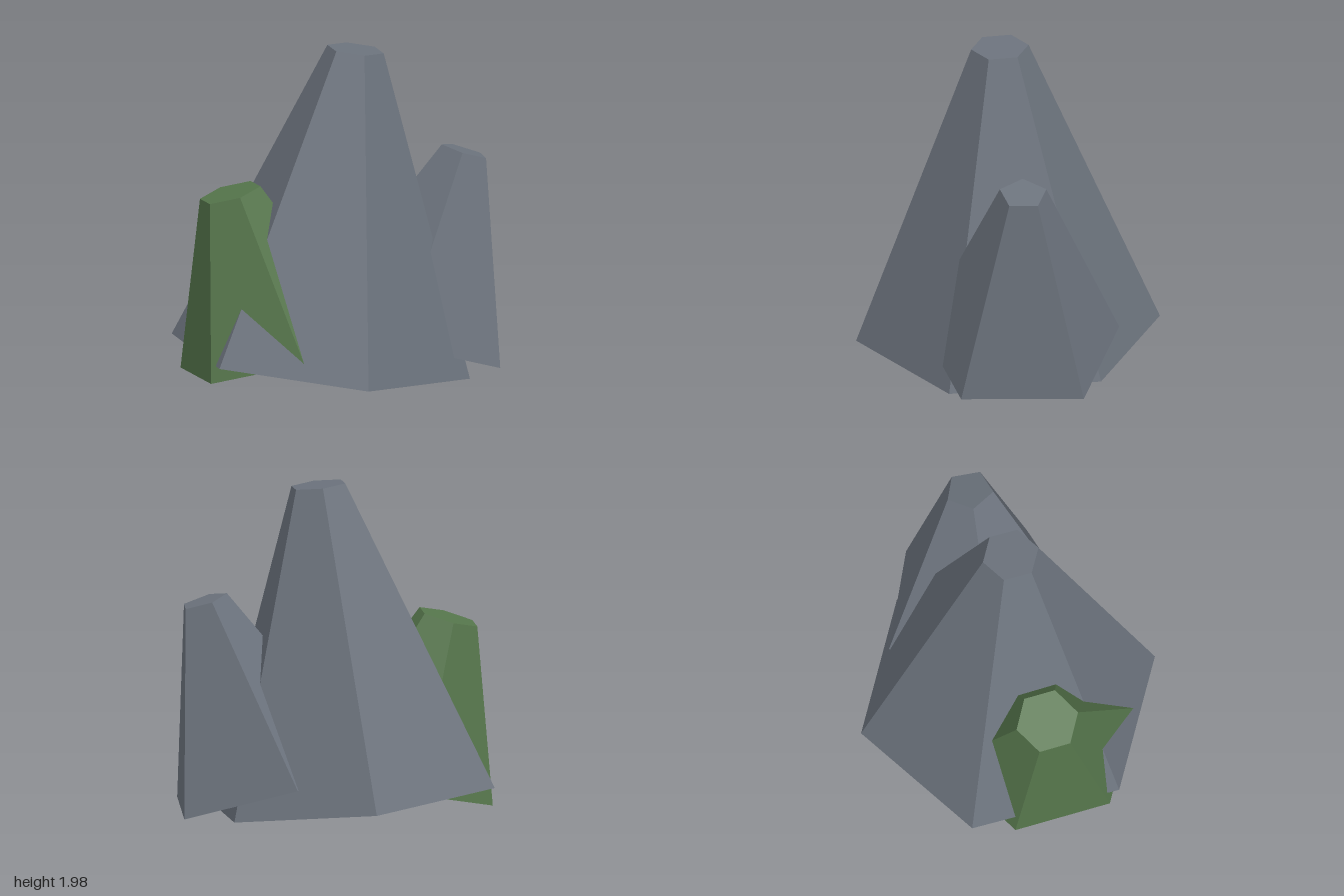
import * as THREE from 'three';

const STONE = 0x6b727c;
const MOSS = 0x55754b;

// Faceted, tapered rock whose axis runs from the base centre to the top centre
function spire(name, sides, base, top, rBase, rTop, color) {
  const a = new THREE.Vector3(...base);
  const b = new THREE.Vector3(...top);
  const axis = b.clone().sub(a);
  const geometry = new THREE.CylinderGeometry(rTop, rBase, axis.length(), sides, 1, false, Math.PI / 2);
  const mesh = new THREE.Mesh(geometry, new THREE.MeshStandardMaterial({ color, flatShading: true }));
  mesh.name = name;
  mesh.position.copy(a).add(b).multiplyScalar(0.5);
  mesh.quaternion.setFromUnitVectors(new THREE.Vector3(0, 1, 0), axis.normalize());
  return mesh;
}

export function createModel() {
  const group = new THREE.Group();
  group.name = 'rockFormation';
  group.add(
    // Tall central peak
    spire('mainRock', 6, [-0.09, 0.106, -0.03], [0.04, 1.97, 0.13], 0.91, 0.172, STONE),
    // Smaller five-sided rock at the front left
    spire('sideRock', 5, [0.388, 0.196, 0.24], [0.67, 1.3, 0.436], 0.62, 0.145, STONE),
    // Mossy rock at the back right
    spire('mossyRock', 6, [-0.42, 0.194, -0.11], [-0.635, 1.15, -0.265], 0.585, 0.19, MOSS),
  );
  return group;
}
